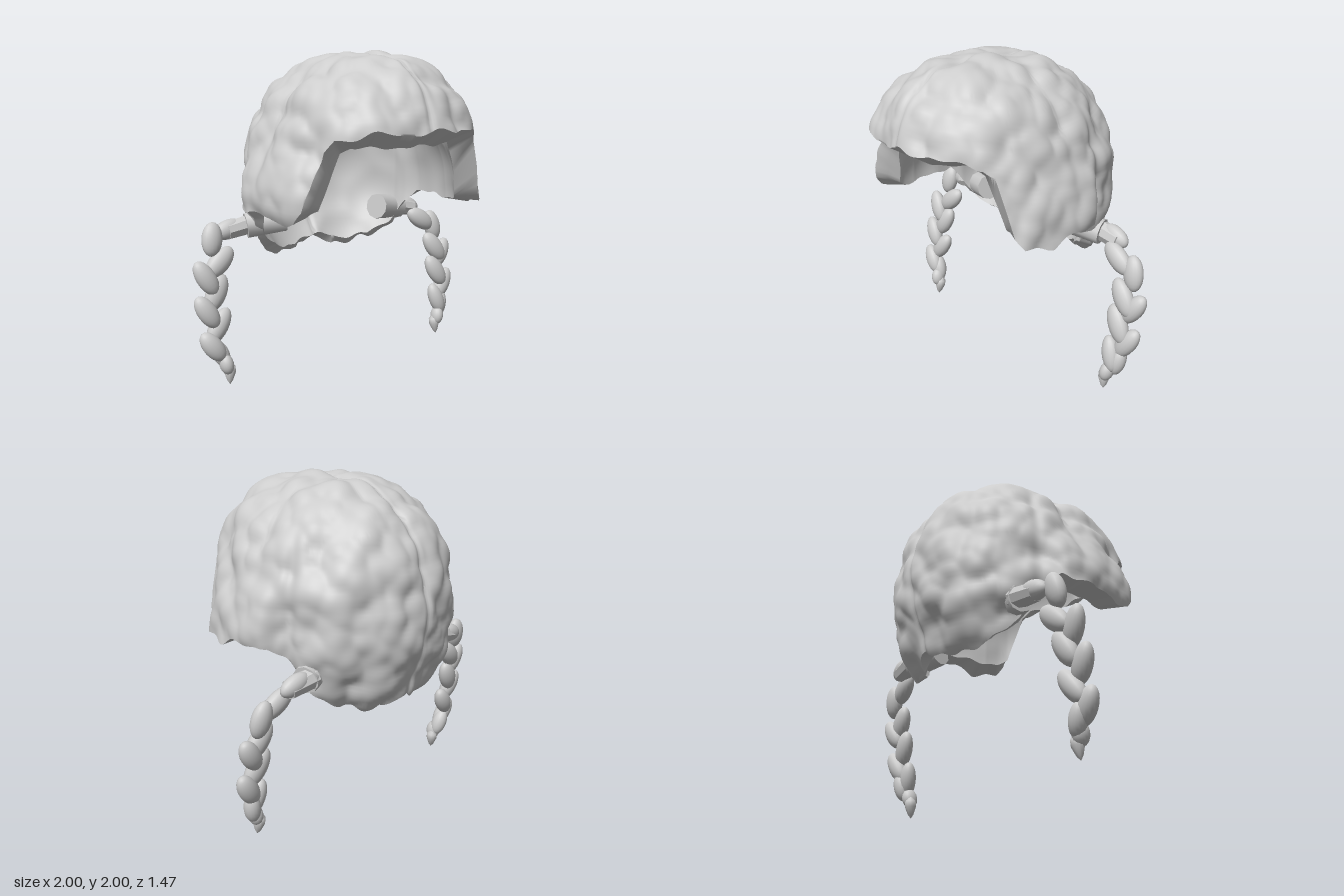
import * as THREE from 'three';
import { toCreasedNormals } from 'three/addons/utils/BufferGeometryUtils.js';

const CENTER_Y = 1.2;
const smooth = THREE.MathUtils.smoothstep;
const deg = THREE.MathUtils.degToRad;

// piecewise linear lookup in [position, value] pairs
function lookup(keys, t) {
  for (let i = 1; i < keys.length; i++) {
    if (t <= keys[i][0]) {
      const [t0, v0] = keys[i - 1], [t1, v1] = keys[i];
      return v0 + (v1 - v0) * (t - t0) / (t1 - t0);
    }
  }
  return keys[keys.length - 1][1];
}

// hem height by angle from the front (degrees): fringe, side panel, nape
const outerHem = [[0, 1.56], [20, 1.56], [44, 1.52], [49, 1.46], [57, 1.13], [61, 1.08], [75, 1.07],
  [85, 1.1], [103, 1.1], [110, 1.02], [122, 0.84], [138, 0.72], [155, 0.7], [165, 0.68], [180, 0.77]];
const innerHem = [[0, 1.47], [20, 1.47], [38, 1.48], [44, 1.44], [55, 1.12], [62, 1.09], [103, 1.09],
  [110, 1.0], [122, 0.85], [138, 0.76], [160, 0.74], [180, 0.78]];
const thickness = [[0, 0.16], [35, 0.15], [55, 0.13], [70, 0.14], [100, 0.11], [120, 0.07], [180, 0.08]];
const upperSquareness = [[0, 3], [50, 2.5], [90, 2.1], [130, 2.25], [180, 2.35]];
const lowerSquareness = [[0, 3], [50, 2.5], [90, 2.1], [130, 2], [180, 1.95]];

function hash(x, y, z, k) {
  const s = Math.sin(x * 127.1 + y * 311.7 + z * 74.7 + k * 53.3) * 43758.5453;
  return s - Math.floor(s);
}

// rounded lumps around jittered grid points
function lumps(x, y, z, size) {
  const px = x / size, py = y / size, pz = z / size;
  const cx = Math.floor(px), cy = Math.floor(py), cz = Math.floor(pz);
  let sum = 1e-9;
  for (let i = cx - 1; i <= cx + 1; i++)
    for (let j = cy - 1; j <= cy + 1; j++)
      for (let k = cz - 1; k <= cz + 1; k++) {
        const dx = i + hash(i, j, k, 1) - px, dy = j + hash(i, j, k, 2) - py, dz = k + hash(i, j, k, 3) - pz;
        sum += Math.exp(-7 * (dx * dx + dy * dy + dz * dz));
      }
  return Math.max(Math.log(sum) / 7, -0.8) + 0.2;
}

// smooth head-shaped radius in a direction
function baseRadius(phi, theta, inset) {
  const a = Math.abs(phi) * 180 / Math.PI;
  const t = inset ? lookup(thickness, a) : 0;
  const depth = Math.cos(phi) > 0 ? 0.755 : 0.73;
  const sx = Math.abs(Math.sin(phi)) / (0.67 - t), sz = Math.abs(Math.cos(phi)) / (depth - t);
  const side = (sx ** 2.25 + sz ** 2.25) ** (-1 / 2.25);
  const p = lookup(theta < Math.PI / 2 ? upperSquareness : lowerSquareness, a);
  const top = 0.785 - (!inset ? 0 : theta < Math.PI / 2 ? 0.12 : 0.06);
  return ((Math.sin(theta) / side) ** p + (Math.abs(Math.cos(theta)) / top) ** p) ** (-1 / p);
}

// polar angle at which the surface reaches a height
function hemAngle(phi, y, inset) {
  let lo = 0.2, hi = 2.7;
  for (let i = 0; i < 30; i++) {
    const mid = (lo + hi) / 2;
    if (CENTER_Y + baseRadius(phi, mid, inset) * Math.cos(mid) > y) lo = mid; else hi = mid;
  }
  return lo;
}

function hairPoint(phi, theta, inset) {
  const a = Math.abs(phi) * 180 / Math.PI;
  const dir = new THREE.Vector3(Math.sin(theta) * Math.sin(phi), Math.cos(theta), Math.sin(theta) * Math.cos(phi));
  let r = baseRadius(phi, theta, inset);
  const p = dir.clone().multiplyScalar(r);
  // combed parting along the middle
  const parting = Math.exp(-((p.x / 0.018) ** 2));
  // side panels flare towards their hem
  const flare = smooth(a, 46, 62) * (1 - smooth(a, 100, 112)) * (1 - smooth(p.y + CENTER_Y, 1.1, 1.5));
  if (inset) {
    r += 0.05 * lumps(p.x + 5, p.y, p.z, 0.27) + 0.012 * parting + 0.04 * flare;
  } else {
    r += 0.065 * lumps(p.x, p.y + 3, p.z, 0.19) + 0.03 * lumps(p.x + 9, p.y, p.z, 0.11);
    r += 0.075 * flare - 0.014 * parting;
    // groove between side panel and back hair
    r -= 0.02 * Math.exp(-(((a - 113) / 3.5) ** 2)) * smooth(theta, 0.6, 1.1);
  }
  return dir.multiplyScalar(r).add(new THREE.Vector3(0, CENTER_Y, 0));
}

// closed shell: each column runs down the outer hair, across the hem and up the lining
function hairShell() {
  const columns = 360, outerRows = 80, hemRows = 2, innerRows = 48, maxAngle = 2.6;
  const rows = outerRows + hemRows + innerRows;
  const points = [], index = [];
  for (let i = 0; i < columns; i++) {
    const phi = (i / columns) * Math.PI * 2 - Math.PI;
    const a = Math.abs(phi) * 180 / Math.PI;
    const wave = 0.01 * Math.sin(phi * 13 + 1) + 0.008 * Math.sin(phi * 23);
    const outerEnd = hemAngle(phi, lookup(outerHem, a) + wave, false);
    const innerEnd = hemAngle(phi, lookup(innerHem, a) + wave * 0.6, true);
    const outerEdge = hairPoint(phi, outerEnd, false), innerEdge = hairPoint(phi, innerEnd, true);
    for (let j = 0; j <= rows; j++) {
      if (j <= outerRows) points.push(hairPoint(phi, Math.min(maxAngle * j / outerRows, outerEnd), false));
      else if (j < outerRows + hemRows) points.push(outerEdge.clone().lerp(innerEdge, (j - outerRows) / hemRows));
      else points.push(hairPoint(phi, Math.min(maxAngle * (rows - j) / innerRows, innerEnd), true));
    }
  }
  // rows past the hem collapse, so empty triangles are skipped
  const face = (a, b, c) => {
    if (new THREE.Triangle(points[a], points[b], points[c]).getArea() > 1e-9) index.push(a, b, c);
  };
  for (let i = 0; i < columns; i++) {
    const s = i * (rows + 1), n = ((i + 1) % columns) * (rows + 1);
    for (let j = 0; j < rows; j++) {
      face(s + j, s + j + 1, n + j + 1);
      face(s + j, n + j + 1, n + j);
    }
  }
  const g = new THREE.BufferGeometry().setFromPoints(points);
  g.setIndex(index);
  return toCreasedNormals(g, deg(60));
}

export function createModel() {
  const model = new THREE.Group();
  const hair = new THREE.MeshStandardMaterial({ color: 0xcccccc });
  hair.name = 'hair grey';
  const add = (parent, name, geometry) => {
    const m = new THREE.Mesh(geometry, hair);
    m.name = name;
    parent.add(m);
    return m;
  };
  add(model, 'hairCap', hairShell());

  // cylinder between two points
  const bar = (parent, name, from, to, r0, r1, sides) => {
    const a = new THREE.Vector3(...from), b = new THREE.Vector3(...to);
    const g = toCreasedNormals(new THREE.CylinderGeometry(r1, r0, a.distanceTo(b), sides), deg(40));
    const m = add(parent, name, g);
    m.position.copy(a).add(b).multiplyScalar(0.5);
    m.quaternion.setFromUnitVectors(new THREE.Vector3(0, 1, 0), b.sub(a).normalize());
  };

  // plaited strands: distance from the middle, height, lean, length, width
  const braids = {
    left: [[0.68, 0.93, 72, 0.2, 0.12], [0.76, 0.83, 55, 0.24, 0.13], [0.875, 0.77, 12, 0.22, 0.13],
      [0.855, 0.62, 35, 0.25, 0.13], [0.925, 0.565, -32, 0.23, 0.12], [0.85, 0.45, 30, 0.25, 0.13],
      [0.92, 0.345, -32, 0.24, 0.12], [0.835, 0.25, 18, 0.23, 0.11], [0.88, 0.21, -10, 0.19, 0.1],
      [0.83, 0.13, -10, 0.13, 0.085]],
    right: [[0.71, 0.92, -75, 0.2, 0.12], [0.835, 0.88, -8, 0.21, 0.13], [0.8, 0.735, -48, 0.24, 0.13],
      [0.905, 0.66, 28, 0.24, 0.12], [0.84, 0.56, -28, 0.24, 0.13], [0.92, 0.46, 30, 0.23, 0.12],
      [0.845, 0.36, -35, 0.24, 0.12], [0.905, 0.25, 35, 0.22, 0.12], [0.85, 0.19, 20, 0.19, 0.1],
      [0.83, 0.13, 10, 0.13, 0.085]],
  };
  const depthAt = [[0, -0.18], [0.3, -0.225], [0.55, -0.265], [0.75, -0.3], [0.88, -0.34], [0.95, -0.37]];

  for (const [name, strands] of Object.entries(braids)) {
    const s = name === 'left' ? 1 : -1;
    const braid = new THREE.Group();
    braid.name = name + 'Braid';
    model.add(braid);
    bar(braid, 'braidRoot', [s * 0.36, 0.965, -0.29], [s * 0.59, 0.93, -0.36], 0.085, 0.08, 10);
    bar(braid, 'braidTie', [s * 0.54, 0.94, -0.37], [s * 0.72, 0.91, -0.365], 0.065, 0.055, 8);
    strands.forEach(([x, y, lean, length, width], i) => {
      const strand = add(braid, 'strand', new THREE.SphereGeometry(0.5, 18, 12));
      strand.position.set(s * x, y, lookup(depthAt, y) + (i % 2 ? 0.012 : -0.012));
      strand.scale.set(width, length, 0.1);
      strand.rotation.set(deg(-9), 0, deg(lean));
    });
    // pointed end
    const tuft = add(braid, 'braidTip', new THREE.LatheGeometry(
      [[0, 0], [0.018, 0.025], [0.036, 0.075], [0.034, 0.11], [0, 0.15]].map(p => new THREE.Vector2(...p)), 12));
    tuft.position.set(s * 0.815, 0, -0.18);
    tuft.rotation.set(deg(-8), 0, deg(s * 5));
  }
  return model;
}
